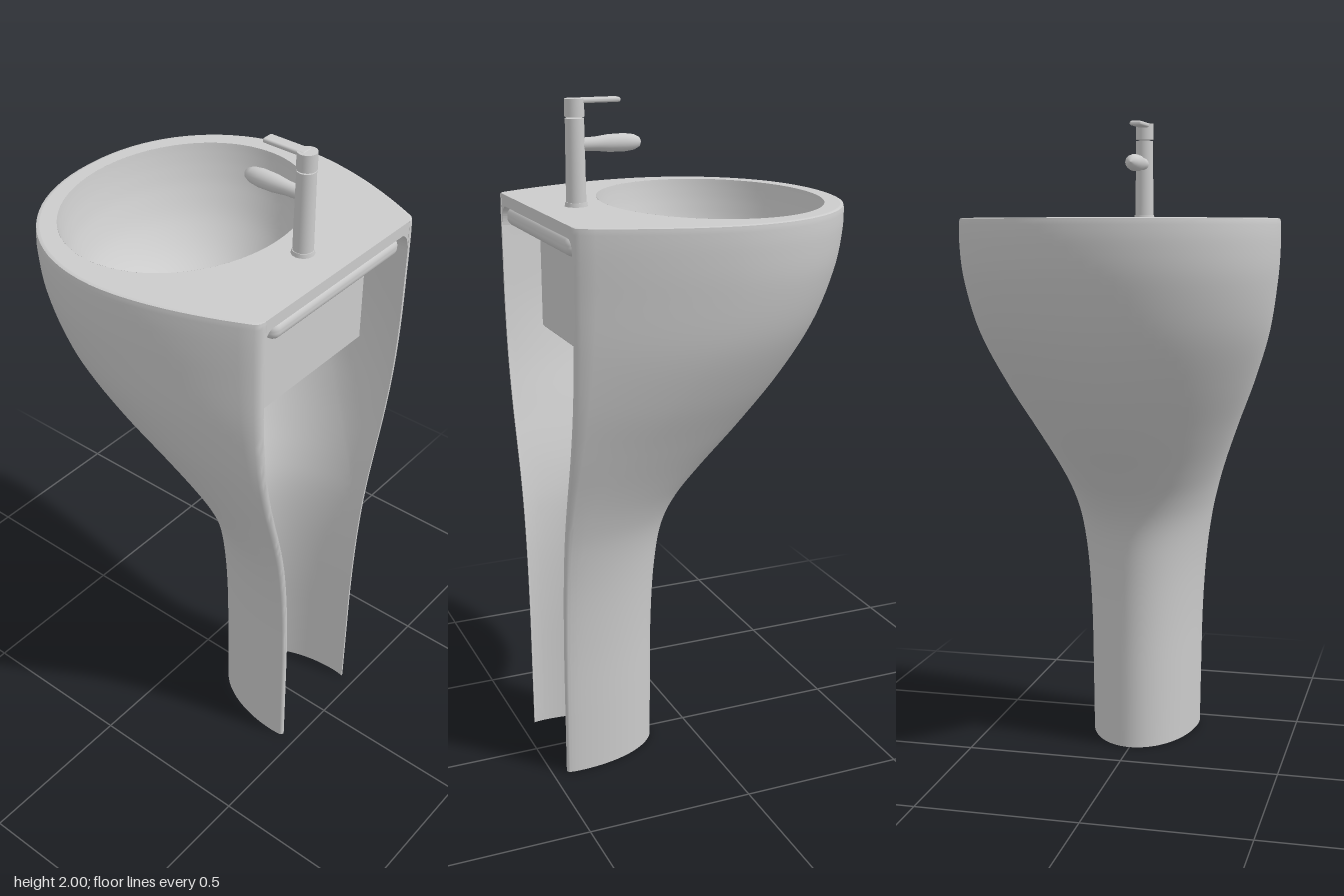
import * as THREE from 'three';
import { toCreasedNormals } from 'three/addons/utils/BufferGeometryUtils.js';
import { RoundedBoxGeometry } from 'three/addons/geometries/RoundedBoxGeometry.js';

const BACK = 0.455, TOP = 1.7, CORNER = 0.014;
const material = new THREE.MeshStandardMaterial({ color: 0xcccccc });
const doubleSided = new THREE.MeshStandardMaterial({ color: 0xcccccc, side: THREE.DoubleSide });

// Body silhouette at a list of heights: nose depth, greatest half width, half width at the open side
const heights = [0, 0.2, 0.4, 0.58, 0.72, 0.82, 0.92, 1.05, 1.2, 1.36, 1.52, 1.63, 1.7];
const curveOf = (values) => new THREE.SplineCurve(heights.map((y, i) => new THREE.Vector2(y, values[i])));
const nose = curveOf([0.125, 0.123, 0.12, 0.109, 0.086, 0.037, -0.047, -0.165, -0.28, -0.373, -0.432, -0.453, -0.455]);
const width = curveOf([0.176, 0.179, 0.183, 0.194, 0.213, 0.236, 0.268, 0.32, 0.385, 0.442, 0.472, 0.48, 0.478]);
const rear = curveOf([0.172, 0.175, 0.179, 0.19, 0.207, 0.227, 0.254, 0.291, 0.322, 0.338, 0.343, 0.345, 0.343]);
const wall = (t) => 0.01 + 0.012 * t;

// Half-open section, running from the left rear edge round the nose to the right rear edge;
// a U at the foot that turns into a D towards the top
function section(t, inset, corner) {
  const blend = THREE.MathUtils.smoothstep(t, 0.3, 0.85);
  const zn = nose.getPoint(t).y, z0 = THREE.MathUtils.lerp(zn, BACK, 0.88 - 0.38 * blend);
  const w = width.getPoint(t).y - inset, r = rear.getPoint(t).y - inset;
  const depth = z0 - zn - inset, power = 1 - 0.06 * blend;
  const half = [[r - corner, BACK], [r - corner * 0.3, BACK - corner * 0.3]];
  for (let i = 0; i < 12; i++) {
    const s = (1 - i / 12) * (1 - corner / (BACK - z0));
    half.push([w - (w - r) * s ** 1.7, z0 + (BACK - z0) * s]);
  }
  for (let i = 0; i <= 20; i++) {
    const a = (i / 20) * Math.PI / 2;
    half.push([w * Math.max(0, Math.cos(a)) ** power, z0 - depth * Math.sin(a) ** power]);
  }
  return half.concat(half.slice(0, -1).reverse().map(([x, z]) => [-x, z]));
}

// Thick-walled body, each ring goes along the outside and returns along the inside
function bodyGeometry() {
  const positions = [], index = [], steps = 64;
  const rows = [[0, wall(0)]];
  for (let i = 0; i < steps; i++) rows.push([i / steps, 0]);
  rows.push([0.995, 0.001], [0.998, 0.004], [1, 0.01]);
  let n = 0;
  for (const [t, outer] of rows) {
    const corner = Math.min(CORNER, wall(t) * 0.7);
    const ring = section(t, outer, corner).concat(section(t, wall(t), 0.001).reverse());
    n = ring.length;
    const y = nose.getPoint(t).x;
    for (const [x, z] of ring) positions.push(x, y, z);
  }
  for (let i = 0; i < rows.length - 1; i++) {
    for (let j = 0; j < n; j++) {
      const k = (j + 1) % n, a = i * n + j, b = i * n + k;
      index.push(a, b, b + n, a, b + n, a + n);
    }
  }
  const g = new THREE.BufferGeometry();
  g.setAttribute('position', new THREE.Float32BufferAttribute(positions, 3));
  g.setIndex(index);
  return toCreasedNormals(g, 0.8);
}

export function createModel() {
  const model = new THREE.Group();
  const add = (name, geometry, x = 0, y = 0, z = 0, parent = model, mat = material) => {
    const mesh = new THREE.Mesh(geometry, mat);
    mesh.name = name;
    mesh.position.set(x, y, z);
    parent.add(mesh);
    return mesh;
  };

  add('pedestalBody', bodyGeometry());

  // Flat deck with the oval bowl opening
  const rx = 0.395, rz = 0.322, bowlZ = -0.083;
  const deck = new THREE.Shape(section(1, 0.01, CORNER).map(([x, z]) => new THREE.Vector2(x, z)));
  const hole = new THREE.Path();
  hole.absellipse(0, bowlZ, rx, rz, 0, Math.PI * 2, true);
  deck.holes.push(hole);
  const deckGeometry = new THREE.ExtrudeGeometry(deck, { depth: 0.035, bevelEnabled: false, curveSegments: 64 });
  add('deck', deckGeometry.rotateX(Math.PI / 2), 0, TOP);

  // Fillets in the upper corners of the open side
  for (const side of [-1, 1]) {
    const fillet = new THREE.Shape();
    fillet.moveTo(0, 0);
    fillet.lineTo(-0.055 * side, 0);
    fillet.quadraticCurveTo(0, 0, 0, -0.065);
    const geometry = new THREE.ExtrudeGeometry(fillet, { depth: 0.1, bevelEnabled: false });
    add('openingFillet', geometry, 0.325 * side, 1.667, BACK - 0.102);
  }

  // Bowl: lathe stretched to an oval
  const bowlProfile = new THREE.SplineCurve([
    [0.001, 1.33], [0.2, 1.337], [0.42, 1.363], [0.62, 1.412], [0.79, 1.485],
    [0.9, 1.565], [0.955, 1.625], [0.985, 1.67], [1, 1.7],
  ].map(([r, y]) => new THREE.Vector2(r, y)));
  const bowl = new THREE.LatheGeometry(bowlProfile.getPoints(40), 64);
  bowl.scale(rx, 1, rz);
  bowl.computeVertexNormals();
  add('bowl', bowl, 0, 0, bowlZ, model, doubleSided);
  add('drainPlug', new THREE.CylinderGeometry(0.058, 0.058, 0.012, 40), 0, 1.335, -0.088);
  add('drainOutlet', new THREE.CylinderGeometry(0.045, 0.045, 0.05, 32), 0, 1.295, -0.088);
  const overflow = add('overflowRing', new THREE.CylinderGeometry(0.024, 0.024, 0.02, 32), 0, 1.583, 0.211);
  overflow.rotation.x = 0.65 - Math.PI / 2;

  // Block behind and below the bowl, cut to follow the bowl wall
  const block = new THREE.Shape([
    [-0.352, 1.67], [-0.352, 1.297], [-0.346, 1.291], [0.2, 1.291], [0.2, 1.315], [0, 1.32],
    [-0.12, 1.37], [-0.18, 1.45], [-0.218, 1.53], [-0.24, 1.61], [-0.25, 1.67],
  ].map(([x, y]) => new THREE.Vector2(x, y)));
  const blockGeometry = new THREE.ExtrudeGeometry(block, { depth: 0.54, bevelEnabled: false });
  add('rearBlock', blockGeometry.rotateY(Math.PI / 2), -0.27);
  add('rearLip', new RoundedBoxGeometry(0.57, 0.058, 0.11, 5, 0.026), 0, 1.638, 0.4);

  // Mixer tap, reaching over the bowl
  const tap = new THREE.Group();
  tap.name = 'tap';
  tap.position.set(0, TOP, 0.328);
  model.add(tap);
  add('tapBase', new THREE.CylinderGeometry(0.031, 0.033, 0.012, 32), 0, 0.006, 0, tap);
  add('tapColumn', new THREE.CylinderGeometry(0.027, 0.029, 0.24, 32), 0, 0.125, 0, tap);
  add('tapHead', new THREE.CylinderGeometry(0.028, 0.028, 0.05, 32), 0, 0.274, 0, tap);
  const spoutProfile = [[0.018, 0], [0.02, 0.06], [0.025, 0.1], [0.026, 0.145], [0.022, 0.175], [0.014, 0.192], [0, 0.199]];
  const spoutGeometry = new THREE.LatheGeometry(spoutProfile.map(([r, y]) => new THREE.Vector2(r, y)), 24);
  add('tapSpout', spoutGeometry.rotateX(-Math.PI / 2), 0, 0.172, 0, tap);
  add('tapLever', new RoundedBoxGeometry(0.038, 0.014, 0.135, 3, 0.006), 0, 0.293, -0.065, tap);

  return model;
}
